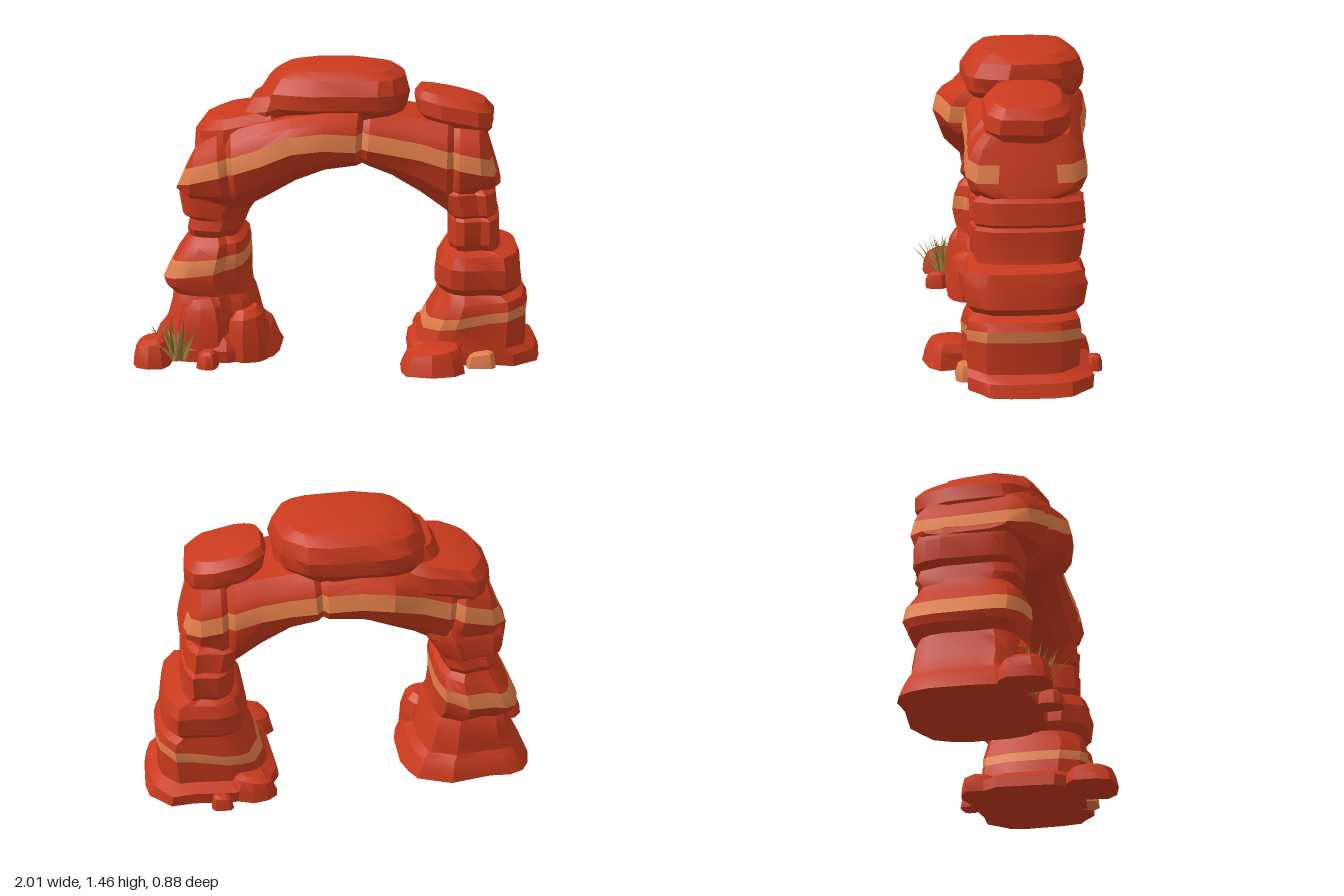
import * as THREE from 'three';
import { toCreasedNormals } from 'three/addons/utils/BufferGeometryUtils.js';

const mat = (name, color) => Object.assign(new THREE.MeshStandardMaterial({ color }), { name });

// Small seeded generator
function seeded(seed) {
  let s = seed * 7919 + 17;
  return () => ((s = (s * 16807) % 2147483647) / 2147483647);
}

export function createModel() {
  const group = new THREE.Group();
  const red = mat('redSandstone', 0xc93a1d);
  const tan = mat('paleStratum', 0xe07d48);
  const grassMats = [mat('dryGrass', 0xa5833a), mat('darkGrass', 0x86692c), mat('strawGrass', 0xbd9448)];

  // Skin a row of rings; isTan(i, j) picks the pale stone for a face, caps use i = -1 and the last ring
  function loft(name, rings, isTan, base = red) {
    const n = rings[0].length, last = rings.length - 1;
    const faces = [[], []];
    const quad = (a, b, c, d, pale) => faces[pale ? 1 : 0].push([a, b, c], [a, c, d]);
    for (let i = 0; i < last; i++)
      for (let j = 0; j < n; j++) {
        const k = (j + 1) % n;
        quad(rings[i][j], rings[i][k], rings[i + 1][k], rings[i + 1][j], isTan(i, j));
      }
    for (let j = 0; j < n / 2 - 1; j++) {
      const a = rings[0], b = rings[last], p = n - 1 - j;
      quad(a[p], a[p - 1], a[j + 1], a[j], isTan(-1, j));
      quad(b[j], b[j + 1], b[p - 1], b[p], isTan(last, j));
    }
    // Turn all faces outwards
    const cross = new THREE.Vector3();
    let volume = 0;
    for (const [a, b, c] of faces.flat()) volume += a.dot(cross.crossVectors(b, c));
    if (volume < 0) faces.flat().forEach((f) => f.reverse());

    let geo = new THREE.BufferGeometry().setFromPoints(faces.flat(2));
    geo.computeVertexNormals();
    geo = toCreasedNormals(geo, 0.42);
    geo.addGroup(0, faces[0].length * 3, 0);
    geo.addGroup(faces[0].length * 3, faces[1].length * 3, 1);
    const mesh = new THREE.Mesh(geo, [base, tan]);
    mesh.name = name;
    group.add(mesh);
  }

  // Stacked rock layers: [y, x0, x1, z0, z1, tilt, pale]
  function strata(name, sections, { seed = 1, n = 20, cracks = [], rough = 0.06, power = 0.62, base = red } = {}) {
    const rnd = seeded(seed);
    const column = Array.from({ length: n }, (_, j) => 1.01 - rnd() * rough - (cracks.includes(j) ? 0.06 : 0));
    const rings = sections.map(([y, x0, x1, z0, z1, tilt = 0]) =>
      column.map((r, j) => {
        const a = ((j + 0.5) / n) * Math.PI * 2, c = Math.cos(a), s = Math.sin(a);
        const k = r * (1.02 - rnd() * rough * 0.6);
        const dx = Math.sign(c) * Math.abs(c) ** power * k * (x1 - x0) / 2;
        const dz = Math.sign(s) * Math.abs(s) ** power * k * (z1 - z0) / 2;
        return new THREE.Vector3((x0 + x1) / 2 + dx, y + tilt * dx, (z0 + z1) / 2 + dz);
      }));
    loft(name, rings, (i) => i >= 0 && i < sections.length - 1 && !!sections[i][6], base);
  }

  // Legs with ledges, pinched seams and pale bands
  strata('leftLeg', [
    [0, -0.98, -0.30, -0.34, 0.29],
    [0.06, -0.95, -0.33, -0.33, 0.29],
    [0.1, -0.92, -0.35, -0.31, 0.27],
    [0.13, -0.90, -0.39, -0.29, 0.25],
    [0.2, -0.87, -0.41, -0.29, 0.25],
    [0.28, -0.85, -0.43, -0.28, 0.24],
    [0.32, -0.84, -0.45, -0.26, 0.22],
    [0.37, -0.88, -0.46, -0.31, 0.24, 0.05],
    [0.43, -0.89, -0.46, -0.34, 0.25, 0.16, true],
    [0.51, -0.84, -0.46, -0.33, 0.24, 0.12],
    [0.57, -0.79, -0.47, -0.30, 0.22, 0.1],
    [0.61, -0.76, -0.50, -0.28, 0.18],
    [0.65, -0.76, -0.48, -0.31, 0.21],
    [0.70, -0.75, -0.46, -0.30, 0.2],
    [0.72, -0.79, -0.45, -0.32, 0.21],
    [0.82, -0.81, -0.38, -0.32, 0.22],
    [0.87, -0.80, -0.35, -0.30, 0.23],
    [0.93, -0.74, -0.38, -0.27, 0.2],
  ], { seed: 3, cracks: [3, 9, 14] });

  strata('rightLeg', [
    [0, 0.33, 1.01, -0.37, 0.25],
    [0.06, 0.34, 0.99, -0.37, 0.25],
    [0.09, 0.38, 0.94, -0.31, 0.25],
    [0.2, 0.40, 0.94, -0.31, 0.25, 0.16, true],
    [0.255, 0.43, 0.94, -0.31, 0.25, 0.16],
    [0.31, 0.47, 0.92, -0.30, 0.24, 0.1],
    [0.35, 0.50, 0.87, -0.29, 0.21],
    [0.39, 0.47, 0.91, -0.33, 0.25],
    [0.49, 0.48, 0.90, -0.34, 0.26],
    [0.55, 0.51, 0.88, -0.32, 0.24],
    [0.57, 0.54, 0.80, -0.29, 0.19],
    [0.6, 0.53, 0.79, -0.32, 0.21],
    [0.72, 0.53, 0.79, -0.33, 0.21],
    [0.735, 0.53, 0.77, -0.31, 0.19],
    [0.75, 0.52, 0.78, -0.34, 0.21],
    [0.85, 0.49, 0.77, -0.33, 0.21],
    [0.87, 0.49, 0.75, -0.30, 0.18],
    [0.93, 0.50, 0.74, -0.27, 0.15],
  ], { seed: 8, cracks: [4, 15] });

  // Arched span: [inner x, inner y, outer x, outer y, back z, front z, band y]
  const span = [
    [-0.80, 0.84, -0.72, 1.02, -0.23, 0.18, 0.875],
    [-0.72, 0.79, -0.69, 1.07, -0.31, 0.27, 0.90],
    [-0.54, 0.76, -0.58, 1.14, -0.34, 0.32, 0.945],
    [-0.50, 0.77, -0.54, 1.14, -0.31, 0.295, 0.955],
    [-0.47, 0.77, -0.51, 1.16, -0.335, 0.33, 0.965],
    [-0.34, 0.84, -0.38, 1.20, -0.34, 0.345, 1.01],
    [-0.20, 0.92, -0.22, 1.23, -0.41, 0.36, 1.075],
    [-0.06, 0.97, -0.06, 1.25, -0.40, 0.335, 1.09],
    [0.09, 0.985, 0.10, 1.25, -0.38, 0.29, 1.075],
    [0.115, 0.985, 0.125, 1.24, -0.35, 0.205, 1.075],
    [0.14, 0.975, 0.16, 1.25, -0.375, 0.225, 1.07],
    [0.26, 0.93, 0.27, 1.23, -0.35, 0.22, 1.05],
    [0.40, 0.85, 0.41, 1.21, -0.34, 0.22, 1.025],
    [0.53, 0.76, 0.53, 1.19, -0.34, 0.23, 0.99],
    [0.56, 0.76, 0.56, 1.17, -0.31, 0.2, 0.985],
    [0.59, 0.78, 0.59, 1.17, -0.34, 0.23, 0.98],
    [0.70, 0.85, 0.68, 1.16, -0.33, 0.225, 0.96],
    [0.77, 0.88, 0.70, 1.15, -0.27, 0.18, 0.945],
    [0.79, 0.88, 0.71, 1.14, -0.19, 0.08, 0.945],
  ];
  const spanRings = span.map(([xi, yi, xo, yo, zb, zf, by]) => {
    const b0 = (by - yi) / (yo - yi), b1 = (by + 0.08 - yi) / (yo - yi);
    const profile = [[0, 0.62], [b0 * 0.45, 0.9], [b0, 1], [b1, 0.95], [(b1 + 1) / 2, 0.87], [1, 0.7]];
    const mid = (zb + zf) / 2, half = (zf - zb) / 2;
    const side = (dir) => profile.map(([t, w]) =>
      new THREE.Vector3(xi + (xo - xi) * t, yi + (yo - yi) * t, mid + dir * half * w));
    return [...side(1), ...side(-1).reverse()];
  });
  loft('archSpan', spanRings, (i, j) => (j === 2 || j === 8) && i < span.length - 1);

  // Cap rocks lying on the span
  strata('topSlab', [
    [1.2, -0.38, 0.30, -0.32, 0.17],
    [1.26, -0.41, 0.34, -0.38, 0.23],
    [1.33, -0.39, 0.345, -0.385, 0.235],
    [1.40, -0.34, 0.33, -0.35, 0.19],
    [1.435, -0.28, 0.27, -0.31, 0.15],
    [1.455, -0.16, 0.13, -0.24, 0.08],
  ], { seed: 5, rough: 0.08, power: 0.68 });
  strata('leftShelf', [
    [1.05, -0.68, -0.25, -0.31, 0.24, 0.18],
    [1.1, -0.72, -0.22, -0.34, 0.26, 0.18],
    [1.18, -0.71, -0.22, -0.34, 0.24, 0.18],
    [1.225, -0.67, -0.24, -0.31, 0.20, 0.18],
    [1.24, -0.60, -0.28, -0.24, 0.14, 0.15],
  ], { seed: 11, rough: 0.09 });
  strata('shelfStep', [
    [1.18, -0.49, -0.2, -0.27, 0.19, 0.2],
    [1.25, -0.48, -0.2, -0.28, 0.2, 0.2],
    [1.32, -0.43, -0.2, -0.24, 0.16, 0.2],
  ], { seed: 6, n: 14, rough: 0.1 });
  strata('rightSlab', [
    [1.15, 0.42, 0.72, -0.24, 0.12, -0.2],
    [1.2, 0.37, 0.75, -0.26, 0.15, -0.2],
    [1.27, 0.36, 0.75, -0.26, 0.14, -0.2],
    [1.31, 0.38, 0.71, -0.22, 0.10, -0.2],
    [1.325, 0.45, 0.64, -0.15, 0.03, -0.2],
  ], { seed: 9 });

  // Loose and leaning stones: [name, x, z, width, depth, height, base colour]
  [
    ['frontButtress', -0.67, 0.19, 0.27, 0.22, 0.31],
    ['innerButtress', -0.46, 0.15, 0.24, 0.28, 0.25],
    ['outerBoulder', -0.91, 0.29, 0.2, 0.27, 0.13],
    ['grassPebble', -0.63, 0.34, 0.11, 0.13, 0.08],
    ['rightFrontBoulder', 0.475, 0.29, 0.34, 0.27, 0.12],
    ['paleStone', 0.71, 0.225, 0.16, 0.12, 0.075, tan],
    ['backStone', 0.63, -0.38, 0.11, 0.08, 0.07],
    ['backBoulder', 0.47, -0.28, 0.24, 0.2, 0.12],
  ].forEach(([name, x, z, w, d, h, base], i) => {
    const layer = (y, s) => [y * h, x - w / 2 * s, x + w / 2 * s, z - d / 2 * s, z + d / 2 * s, y > 0 ? 0.15 : 0];
    strata(name, [layer(0, 1.06), layer(0.5, 1), layer(0.85, 0.82), layer(1, 0.5)],
      { seed: 20 + i, n: 10, rough: 0.16, power: 0.7, base });
  });

  // Dry grass tuft of broad, flattened blades
  const tuft = new THREE.Group();
  tuft.name = 'grassTuft';
  tuft.position.set(-0.79, 0.02, 0.29);
  const rnd = seeded(42);
  for (let i = 0; i < 48; i++) {
    const length = 0.15 + rnd() * 0.07;
    const blade = new THREE.Mesh(
      new THREE.ConeGeometry(0.015, length, 3).translate(0, length / 2, 0).scale(0.5, 1, 1), grassMats[i % 3]);
    blade.name = 'grassBlade';
    const a = i * 2.4, lean = 0.08 + rnd() * 0.75;
    blade.position.set(Math.cos(a) * 0.05 * rnd(), 0, Math.sin(a) * 0.05 * rnd());
    blade.rotation.set(0, -a, -lean);
    tuft.add(blade);
  }
  group.add(tuft);
  return group;
}
